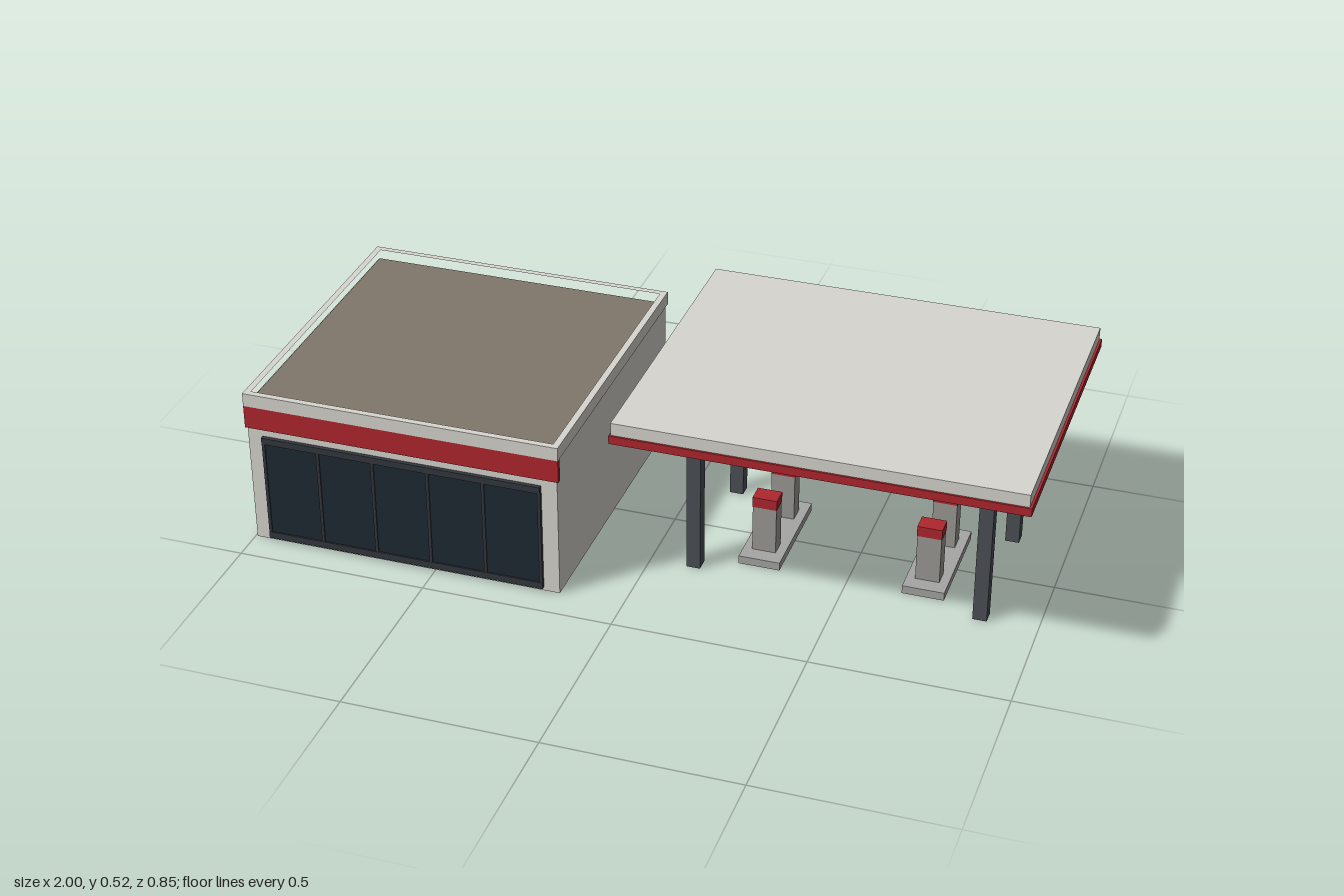
import * as THREE from 'three';

const mat = (color) => new THREE.MeshStandardMaterial({ color });
const WALL = mat(0xd8d6cf), RED = mat(0xb0272f), STEEL = mat(0x4b5057), GLASS = mat(0x1e2833);
const FRAME = mat(0x33383e), ROOF = mat(0x80776b), PUMP = mat(0x9c9b95), CONCRETE = mat(0xa6a6a4);

// Box given by its minimum and maximum corners
function block(parent, name, material, [x0, y0, z0], [x1, y1, z1]) {
  const mesh = new THREE.Mesh(new THREE.BoxGeometry(x1 - x0, y1 - y0, z1 - z0), material);
  mesh.position.set((x0 + x1) / 2, (y0 + y1) / 2, (z0 + z1) / 2);
  mesh.name = name;
  parent.add(mesh);
  return mesh;
}

function createShop() {
  const shop = new THREE.Group();
  shop.name = 'shop';
  block(shop, 'walls', WALL, [-0.995, 0, -0.419], [-0.166, 0.392, 0.413]);
  block(shop, 'roof', ROOF, [-0.99, 0.392, -0.414], [-0.17, 0.396, 0.408]);
  block(shop, 'fasciaBand', RED, [-1, 0.328, 0.405], [-0.161, 0.39, 0.418]);

  // Raised rim around the sunken flat roof
  const rect = (T, x0, z0, x1, z1) => {
    const s = new T();
    s.moveTo(x0, -z0).lineTo(x1, -z0).lineTo(x1, -z1).lineTo(x0, -z1).closePath();
    return s;
  };
  const rim = rect(THREE.Shape, -1, -0.424, -0.161, 0.418);
  rim.holes.push(rect(THREE.Path, -0.983, -0.407, -0.178, 0.401));
  const parapet = new THREE.Mesh(
    new THREE.ExtrudeGeometry(rim, { depth: 0.036, bevelEnabled: false }).rotateX(-Math.PI / 2), WALL);
  parapet.position.y = 0.39;
  parapet.name = 'parapet';
  shop.add(parapet);

  // Shop window: glass, rails and evenly spaced uprights
  const front = new THREE.Group();
  front.name = 'shopWindow';
  shop.add(front);
  const x0 = -0.955, x1 = -0.208;
  block(front, 'glass', GLASS, [x0 + 0.004, 0.015, 0.41], [x1 - 0.004, 0.3, 0.42]);
  block(front, 'bottomRail', FRAME, [x0, 0.01, 0.41], [x1, 0.028, 0.424]);
  block(front, 'topRail', FRAME, [x0, 0.29, 0.41], [x1, 0.308, 0.424]);
  for (let i = 0; i <= 5; i++) {
    const x = x0 + 0.004 + (x1 - x0 - 0.008) * i / 5;
    block(front, 'mullion', FRAME, [x - 0.004, 0.012, 0.41], [x + 0.004, 0.306, 0.423]);
  }
  return shop;
}

function createForecourt() {
  const forecourt = new THREE.Group();
  forecourt.name = 'forecourt';
  const cx = 0.484, cz = -0.004;

  // Canopy slab with a red edge and grey underside
  block(forecourt, 'canopySlab', WALL, [-0.026, 0.487, -0.42], [0.994, 0.52, 0.413]);
  block(forecourt, 'canopyTrim', RED, [-0.03, 0.465, -0.424], [1, 0.487, 0.418]);
  block(forecourt, 'canopySoffit', WALL, [-0.026, 0.464, -0.42], [0.994, 0.47, 0.413]);

  for (const sx of [-1, 1]) {
    for (const sz of [-1, 1]) {
      const x = cx + sx * 0.37, z = cz + sz * 0.185;
      block(forecourt, 'column', STEEL, [x - 0.018, 0, z - 0.018], [x + 0.018, 0.466, z + 0.018]);
    }
    // Island with two fuel dispensers
    const island = new THREE.Group();
    island.name = 'pumpIsland';
    forecourt.add(island);
    const x = cx + sx * 0.213;
    block(island, 'kerb', CONCRETE, [x - 0.054, 0, cz - 0.148], [x + 0.054, 0.022, cz + 0.148]);
    for (const sz of [-1, 1]) {
      const z = cz + sz * 0.083;
      block(island, 'pumpBody', PUMP, [x - 0.031, 0.022, z - 0.023], [x + 0.031, 0.15, z + 0.023]);
      block(island, 'pumpCap', RED, [x - 0.032, 0.149, z - 0.024], [x + 0.032, 0.177, z + 0.024]);
    }
  }
  return forecourt;
}

export function createModel() {
  const model = new THREE.Group();
  model.name = 'fuelStation';
  model.add(createShop(), createForecourt());
  return model;
}
